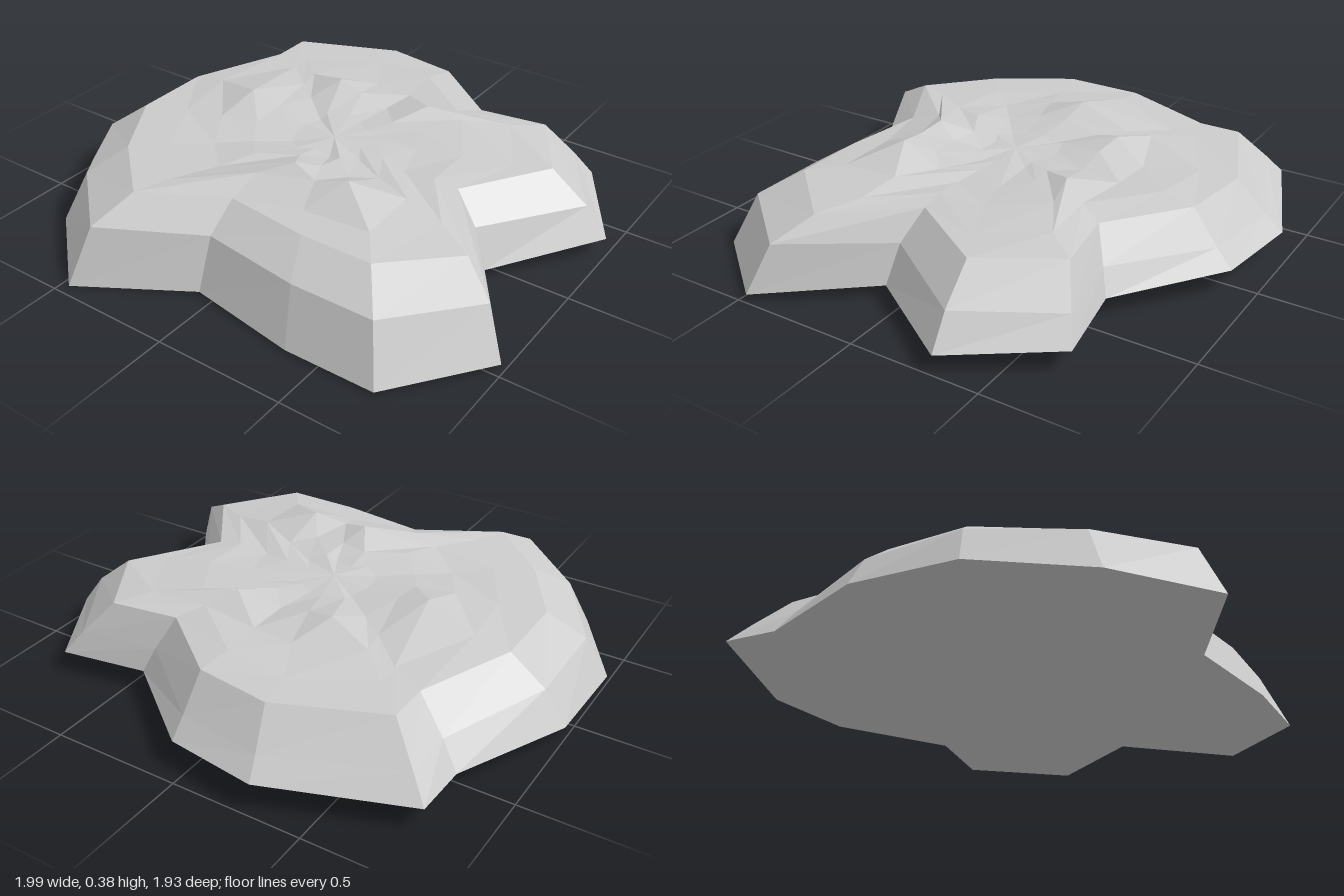
import * as THREE from 'three';

// Ground outline and top rim, as matching [x, z] corners, clockwise from above
const BASE = [
  [-0.29, -0.97], [0.06, -0.92], [0.43, -0.63], [0.76, -0.69],
  [0.99, -0.32], [0.71, 0.08], [0.99, 0.47], [0.72, 0.80],
  [0.37, 0.80], [-0.06, 0.73], [-0.47, 0.96], [-0.78, 0.68],
  [-1.0, 0.31], [-1.0, -0.10], [-0.81, -0.55], [-0.81, -0.77],
];
const RIM = [
  [-0.24, -0.80], [0.05, -0.76], [0.33, -0.54], [0.59, -0.58],
  [0.76, -0.30], [0.55, 0.02], [0.77, 0.33], [0.55, 0.57],
  [0.27, 0.57], [-0.06, 0.53], [-0.37, 0.70], [-0.61, 0.48],
  [-0.78, 0.20], [-0.78, -0.11], [-0.63, -0.48], [-0.63, -0.64],
];
// Small crests on the top: x, y, z
const PEAKS = [
  [-0.43, 0.365, -0.05], [0.05, 0.375, 0.31], [0.28, 0.378, 0.31],
  [0.20, 0.36, -0.34], [-0.20, 0.365, -0.33],
];
const N = BASE.length;

function seeded(seed) {
  return () => (seed = (seed * 16807) % 2147483647) / 2147483647;
}

// Flat-shaded mesh from a list of triangle corners
function facetedMesh(name, corners, material) {
  const geometry = new THREE.BufferGeometry().setFromPoints(corners);
  geometry.computeVertexNormals();
  const mesh = new THREE.Mesh(geometry, material);
  mesh.name = name;
  return mesh;
}

// Skin between an outer and an inner ring
function band(outer, inner) {
  const out = [];
  for (let i = 0; i < N; i++) {
    const j = (i + 1) % N;
    out.push(outer[j], outer[i], inner[i], outer[j], inner[i], inner[j]);
  }
  return out;
}

function fan(ring, centre, up) {
  return ring.flatMap((p, i) => {
    const q = ring[(i + 1) % N];
    return up ? [q, p, centre] : [p, q, centre];
  });
}

export function createModel() {
  const group = new THREE.Group();
  group.name = 'rockPlateau';
  const stone = new THREE.MeshStandardMaterial({ color: 0xcccccc, flatShading: true });
  const V = (x, y, z) => new THREE.Vector3(x, y, z);

  // Sloping ground ring, bevel ring and top rim
  const base = BASE.map(([x, z]) => V(x, 0.05 - 0.052 * z, z));
  const rim = RIM.map(([x, z], i) => V(x, i === 6 ? 0.28 : 0.297, z));
  const bevel = base.map((p, i) => {
    const m = p.clone().lerp(rim[i], 0.38);
    m.y = 0.19 + 0.025 * m.z;
    return m;
  });

  // Uneven top: shrinking jittered rings, raised around the crests
  const random = seeded(77);
  const jitter = (s) => (random() - 0.5) * s;
  const height = (x, z) => {
    const lift = PEAKS.map(([px, py, pz]) =>
      (py - 0.305) * Math.exp(-(((x - px) / 0.17) ** 2) - ((z - pz) / 0.11) ** 2));
    return 0.308 + Math.max(...lift) * 0.8 + jitter(0.018);
  };
  const rings = [0.8, 0.6, 0.4, 0.2].map((s) => rim.map((p) => {
    const x = p.x * s + jitter(0.07 * s);
    const z = p.z * s + jitter(0.07 * s);
    return V(x, height(x, z), z);
  }));
  // Pull the nearest corner onto each crest
  for (const [x, y, z] of PEAKS) {
    const peak = V(x, y, z);
    rings.flat().reduce((a, b) =>
      (b.distanceTo(peak) < a.distanceTo(peak) ? b : a)).copy(peak);
  }

  const top = [rim, ...rings];
  const topCorners = rings.flatMap((ring, i) => band(top[i], ring));
  topCorners.push(...fan(rings[3], V(0, 0.315, 0), true));

  group.add(
    facetedMesh('lowerCliff', band(base, bevel), stone),
    facetedMesh('upperCliff', band(bevel, rim), stone),
    facetedMesh('unevenTop', topCorners, stone),
    facetedMesh('underside', fan(base, V(0, 0.05, 0), false), stone),
  );
  return group;
}
